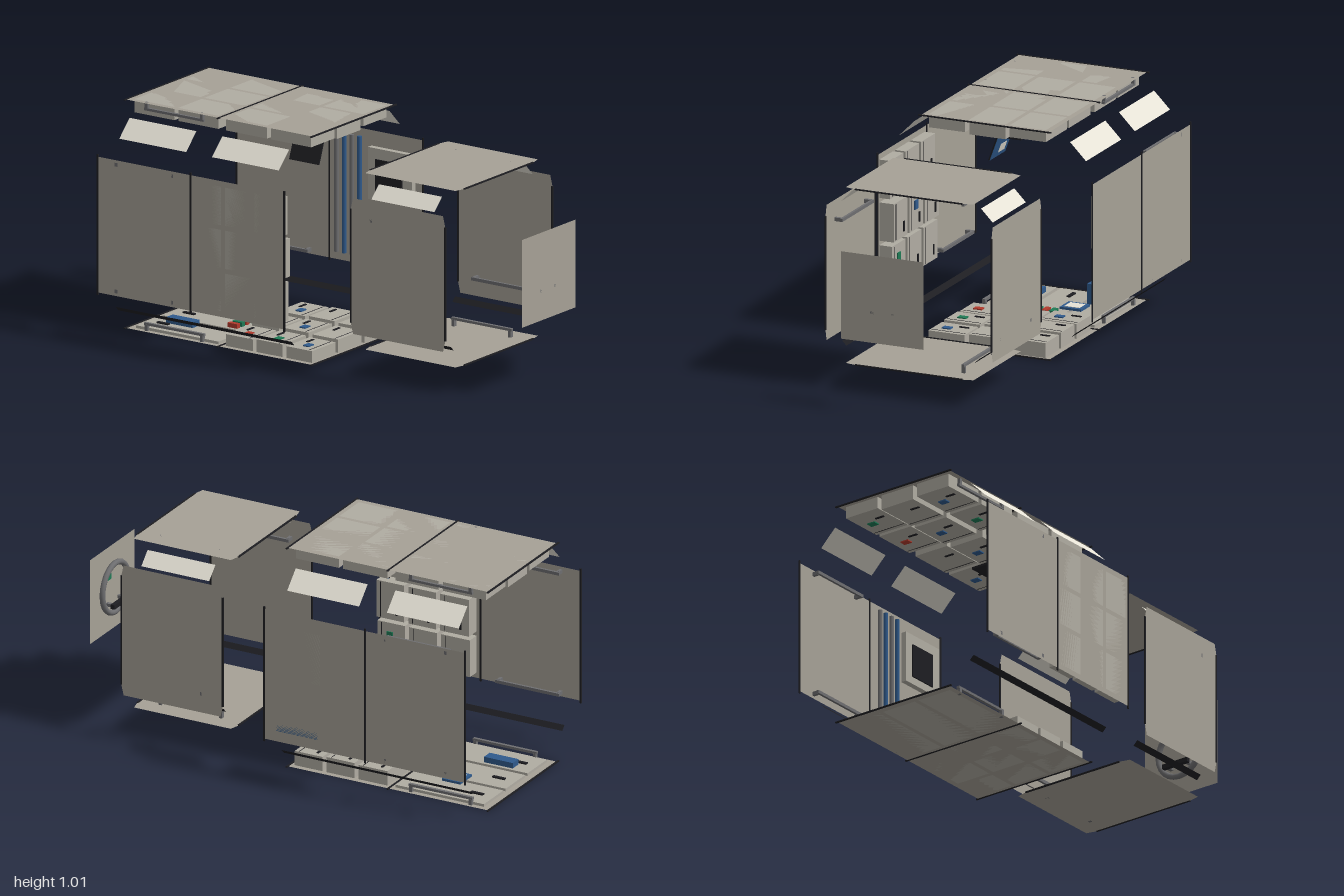
import * as THREE from 'three';

const mat = (name, color, side = THREE.FrontSide) => {
  const m = new THREE.MeshStandardMaterial({ color, side });
  m.name = name;
  return m;
};

export function createModel() {
  const M = {
    panel: mat('panelGrey', 0xa6a196, THREE.DoubleSide),
    box: mat('equipmentGrey', 0xb0aca2),
    light: mat('lampCream', 0xe6e2d6, THREE.DoubleSide),
    black: mat('trimBlack', 0x1e1e22, THREE.DoubleSide),
    rail: mat('railGrey', 0x6e6e70),
    blue: mat('blue', 0x2f5a8c),
    green: mat('green', 0x1f7a55),
    red: mat('red', 0xb23a2c),
  };
  const root = new THREE.Group();
  root.name = 'explodedStationModule';
  const CY = 0.508;

  const add = (parent, name, geo, m, x = 0, y = 0, z = 0) => {
    const mesh = new THREE.Mesh(geo, m);
    mesh.name = name;
    mesh.position.set(x, y, z);
    parent.add(mesh);
    return mesh;
  };
  // box given by its min and max corners
  const block = (parent, name, m, x0, x1, y0, y1, z0, z1) =>
    add(parent, name, new THREE.BoxGeometry(x1 - x0, y1 - y0, z1 - z0), m,
      (x0 + x1) / 2, (y0 + y1) / 2, (z0 + z1) / 2);

  // wall frame: x runs across the wall, y points inward, z along the module
  const wall = (name, k, radius) => {
    const pivot = new THREE.Group();
    pivot.name = name;
    pivot.position.y = CY;
    pivot.rotation.z = k * Math.PI / 2;
    const g = new THREE.Group();
    g.position.y = -radius;
    pivot.add(g);
    root.add(pivot);
    return g;
  };
  // thin sheet with slightly tapered corners, and trim bars at chosen z
  const sheet = (g, z0, z1, taper, trimHalf, trims) => {
    const h = 0.3, c = taper ? 0.012 : 0, t = taper;
    const s = new THREE.Shape([
      [-h, z0 + c], [-h + t, z0], [h - t, z0], [h, z0 + c],
      [h, z1 - c], [h - t, z1], [-h + t, z1], [-h, z1 - c],
    ].map(([x, z]) => new THREE.Vector2(x, -z)));
    const geo = new THREE.ShapeGeometry(s);
    geo.rotateX(-Math.PI / 2);
    add(g, 'wallSheet', geo, M.panel);
    for (const z of trims) block(g, 'edgeTrim', M.black, -trimHalf, trimHalf, -0.002, 0.003, z - 0.004, z + 0.004);
  };
  const handrail = (g, x, z0, z1, h = 0.036) => {
    block(g, 'handrail', M.rail, x - 0.007, x + 0.007, h - 0.011, h, z0 - 0.01, z1 + 0.01);
    for (const z of [z0, z1]) block(g, 'railBracket', M.rail, x - 0.008, x + 0.008, 0, h - 0.008, z - 0.007, z + 0.007);
  };
  // equipment box with a seam, a latch and an optional small coloured display
  const COLS = [-0.19, 0, 0.19];
  const unit = (g, x, z0, z1, h, colour) => {
    const zc = (z0 + z1) / 2;
    block(g, 'equipmentBox', M.box, x - 0.085, x + 0.085, 0, h, z0, z1);
    block(g, 'boxSeam', M.black, x - 0.08, x + 0.08, h, h + 0.001, z1 - 0.022, z1 - 0.019);
    block(g, 'latch', M.black, x + 0.015, x + 0.06, h, h + 0.004, zc - 0.035, zc - 0.025);
    if (colour) block(g, 'display', colour, x - 0.045, x - 0.005, h, h + 0.005, zc - 0.01, zc + 0.02);
  };
  const ROWS3 = [[-0.175, -0.04], [-0.33, -0.195], [-0.49, -0.35]];
  const ROWS4 = [[-0.255, -0.045], [-0.49, -0.275], [-0.74, -0.53], [-0.97, -0.76]];

  // rear section: four walls
  const big = ['rearFloor', 'rearLeftWall', 'rearCeiling', 'rearRightWall'].map((n, k) => {
    const g = wall(n, k, 0.505);
    sheet(g, -0.995, -0.02, 0, 0.311, [-0.996, -0.51, -0.02]);
    for (const x of [-0.28, 0.28]) handrail(g, x, -0.9, -0.61);
    return g;
  });
  const [floor, left, ceiling, right] = big;

  // floor equipment: tall boxes in front, flat lids behind
  COLS.forEach((x, i) => {
    ROWS3.forEach(([a, b], j) => unit(floor, x, a, b, 0.052 + 0.007 * i + (j === 1 ? 0.004 : 0),
      [M.blue, null, M.green, null, M.red][(i * 3 + j * 2) % 5]));
    block(floor, 'flatLid', M.box, x - 0.085, x + 0.085, 0, 0.012, -0.96, -0.53);
    block(floor, 'latch', M.black, x - 0.008, x + 0.008, 0.012, 0.018, -0.91, -0.85);
  });
  block(floor, 'floorScreen', M.blue, 0.04, 0.14, 0.012, 0.022, -0.77, -0.68);
  block(floor, 'floorScreenFace', M.light, 0.055, 0.125, 0.022, 0.024, -0.755, -0.695);
  block(floor, 'blueCase', M.blue, -0.17, -0.12, 0.012, 0.037, -0.88, -0.74);
  for (let i = 0; i < 4; i++) {
    block(floor, 'smallCanister', i % 2 ? M.green : M.red, -0.07 + i * 0.035, -0.048 + i * 0.035, 0.012, 0.032, -0.63, -0.58);
  }

  // ceiling equipment
  COLS.forEach((x, i) => ROWS4.forEach(([a, b], j) =>
    unit(ceiling, x, a, b, [0.053, 0.065, 0.058][i], [M.blue, M.green, null, M.blue, M.red][(i + j * 2) % 5])));

  // right wall equipment
  COLS.forEach((x, i) => ROWS3.forEach(([a, b], j) =>
    unit(right, x, a, b, [0.05, 0.068, 0.06][i], [M.green, null, null, M.blue][(i * 2 + j) % 4])));

  // left wall: blue bag, cabinet and vertical pipes
  block(left, 'blueBag', M.blue, -0.253, -0.163, 0, 0.053, -0.28, -0.08);
  for (const z of [-0.23, -0.13]) block(left, 'bagStrap', M.rail, -0.163, -0.12, 0.012, 0.02, z - 0.006, z + 0.006);
  block(left, 'wallCabinet', M.box, 0.002, 0.232, 0, 0.026, -0.29, -0.06);
  block(left, 'cabinetScreen', M.black, 0.035, 0.185, 0.026, 0.032, -0.25, -0.11);
  [[-0.46, M.rail], [-0.42, M.blue], [-0.38, M.rail], [-0.34, M.blue]].forEach(([z, m]) => {
    const geo = new THREE.CylinderGeometry(0.01, 0.01, 0.53, 10).rotateZ(Math.PI / 2);
    add(left, 'pipe', geo, m, 0.005, 0.018, z);
  });

  // computer hung from the ceiling
  block(root, 'computerArm', M.black, 0.06, 0.076, 0.92, 0.97, -0.25, -0.235);
  block(root, 'computerBase', M.black, -0.012, 0.102, 0.912, 0.922, -0.32, -0.165);
  const lid = new THREE.Group();
  lid.name = 'computerLid';
  lid.position.set(-0.03, 0.857, -0.2425);
  lid.rotation.z = -0.35;
  root.add(lid);
  block(lid, 'lidShell', M.black, -0.004, 0.002, -0.057, 0.057, -0.0775, 0.0775);
  block(lid, 'lidScreen', M.blue, 0.002, 0.004, -0.055, 0.055, -0.0755, 0.0755);
  block(lid, 'screenWindow', M.light, 0.004, 0.005, -0.035, 0.006, -0.05, 0.012);

  // front section: four walls with one handrail each
  ['frontFloor', 'frontLeftWall', 'frontCeiling', 'frontRightWall'].forEach((n, k) => {
    const g = wall(n, k, 0.39);
    sheet(g, 0.245, 0.74, 0.05, 0.252, [0.246, 0.739]);
    handrail(g, k === 0 ? 0.215 : -0.215, 0.35, 0.645, 0.039);
  });

  // slanted corner strips: lamps above, dark guide strips below
  const strip = (name, m, xa, ya, xb, yb, z0, z1) => {
    for (const s of [-1, 1]) {
      const geo = new THREE.PlaneGeometry(Math.hypot(xb - xa, yb - ya), z1 - z0).rotateX(-Math.PI / 2);
      const mesh = add(root, name, geo, m, s * (xa + xb) / 2, (ya + yb) / 2, (z0 + z1) / 2);
      mesh.rotation.z = s * Math.atan2(yb - ya, xb - xa);
    }
  };
  strip('rearLamp', M.light, 0.365, 0.958, 0.44, 0.883, -0.445, -0.095);
  strip('rearLamp', M.light, 0.365, 0.958, 0.44, 0.883, -0.93, -0.58);
  strip('frontLamp', M.light, 0.303, 0.862, 0.358, 0.807, 0.33, 0.66);
  strip('rearGuideStrip', M.black, 0.39, 0.106, 0.41, 0.126, -0.97, -0.05);
  strip('frontGuideStrip', M.black, 0.301, 0.192, 0.321, 0.212, 0.28, 0.72);

  // end hatch: square sheet, ring, handle and markers on the inside
  const hatch = new THREE.Group();
  hatch.name = 'endHatch';
  hatch.position.set(0, CY, 1);
  root.add(hatch);
  add(hatch, 'hatchSheet', new THREE.PlaneGeometry(0.388, 0.388), M.panel);
  add(hatch, 'hatchRing', new THREE.TorusGeometry(0.112, 0.013, 8, 24), M.rail, 0, 0, -0.014);
  block(hatch, 'hatchHandle', M.black, -0.067, 0.067, -0.073, -0.053, -0.048, -0.028);
  for (const x of [-0.05, 0.05]) block(hatch, 'handlePost', M.rail, x - 0.008, x + 0.008, -0.07, -0.056, -0.03, 0);
  block(hatch, 'redMarker', M.red, -0.125, -0.085, -0.03, 0.02, -0.03, -0.001);
  block(hatch, 'greenMarker', M.green, 0.03, 0.07, 0.05, 0.075, -0.012, -0.001);

  return root;
}
